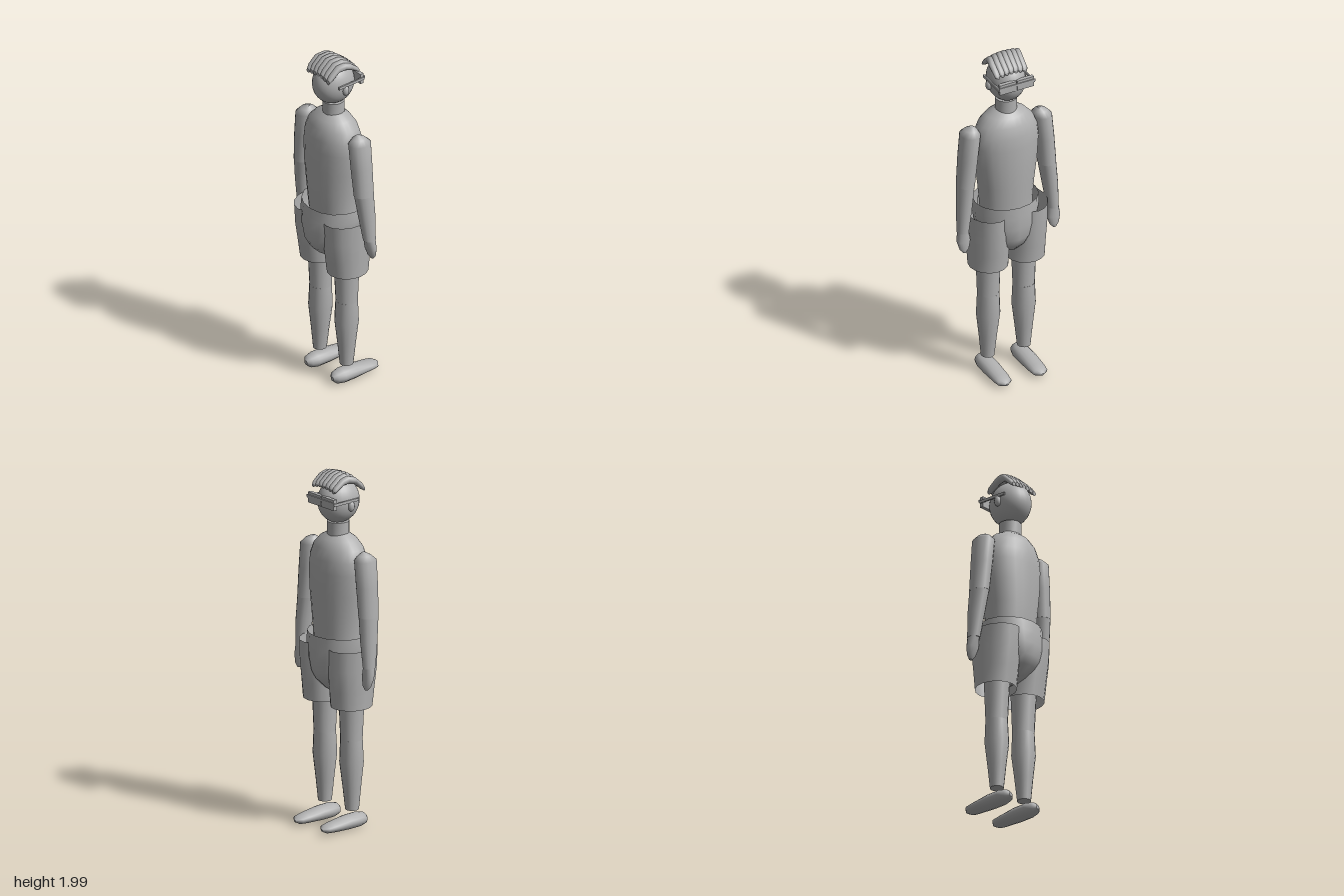
import * as THREE from 'three';

const grey = new THREE.MeshStandardMaterial({ color: 0xb0b0b0, side: THREE.DoubleSide });
grey.name = 'plain grey';

// Elliptical cross-sections [y, centreX, centreZ, radiusX, radiusZ], listed bottom to top
function loft(sections, { sides = 16, bottom = true, top = true } = {}) {
  const pos = [], index = [];
  for (const [y, cx, cz, rx, rz] of sections) {
    for (let i = 0; i < sides; i++) {
      const a = (i / sides) * Math.PI * 2;
      pos.push(cx + rx * Math.cos(a), y, cz + rz * Math.sin(a));
    }
  }
  for (let r = 0; r < sections.length - 1; r++) {
    for (let i = 0; i < sides; i++) {
      const j = (i + 1) % sides;
      const a = r * sides + i, b = r * sides + j, c = a + sides, d = b + sides;
      index.push(a, c, b, b, c, d);
    }
  }
  const cap = (r, up) => {
    const [y, cx, cz] = sections[r];
    const start = pos.length / 3;
    // own copy of the ring keeps the cap edge sharp
    for (let i = 0; i < sides; i++) pos.push(...pos.slice((r * sides + i) * 3, (r * sides + i) * 3 + 3));
    pos.push(cx, y, cz);
    for (let i = 0; i < sides; i++) {
      const a = start + i, b = start + (i + 1) % sides;
      index.push(start + sides, up ? b : a, up ? a : b);
    }
  };
  if (bottom) cap(0, false);
  if (top) cap(sections.length - 1, true);
  const g = new THREE.BufferGeometry();
  g.setAttribute('position', new THREE.Float32BufferAttribute(pos, 3));
  g.setIndex(index);
  g.computeVertexNormals();
  return g;
}

export function createModel() {
  const model = new THREE.Group();
  model.name = 'figure';
  const add = (name, geometry, x = 0, y = 0, z = 0) => {
    const m = new THREE.Mesh(geometry, grey);
    m.name = name;
    m.position.set(x, y, z);
    model.add(m);
    return m;
  };

  // Torso and neck
  add('torso', loft([
    [1.04, 0, 0.02, 0.15, 0.12], [1.1, 0, 0.022, 0.153, 0.125], [1.2, 0, 0.023, 0.162, 0.132],
    [1.33, 0, 0.023, 0.18, 0.137], [1.45, 0, 0.023, 0.19, 0.135], [1.52, 0, 0.023, 0.182, 0.13],
    [1.58, 0, 0.023, 0.158, 0.115], [1.625, 0, 0.023, 0.115, 0.088], [1.655, 0, 0.023, 0.06, 0.05],
  ], { sides: 24 }));
  add('neck', loft([[1.62, 0, 0.02, 0.06, 0.06], [1.72, 0, 0.02, 0.06, 0.06]], { sides: 20 }));

  // Head and ears
  const head = new THREE.SphereGeometry(1, 28, 20);
  head.scale(0.104, 0.124, 0.122);
  add('head', head, 0, 1.835, 0.022);
  for (const s of [1, -1]) {
    const ear = new THREE.SphereGeometry(1, 12, 8);
    ear.scale(0.017, 0.03, 0.02);
    add('ear', ear, s * 0.105, 1.822, 0.022);
  }

  // Glasses
  for (const s of [1, -1]) {
    add('lens', new THREE.BoxGeometry(0.102, 0.06, 0.022), s * 0.054, 1.852, -0.093);
    add('templeBar', new THREE.BoxGeometry(0.008, 0.016, 0.176), s * 0.107, 1.853, -0.016);
  }
  add('browBar', new THREE.BoxGeometry(0.222, 0.014, 0.006), 0, 1.86, -0.106);

  // Hair: overlapping bent strands combed from back to front
  for (let i = 0; i < 7; i++) {
    const u = i / 3 - 1;
    const drop = 0.012 * u * u, x = u * 0.083;
    const strand = loft([
      [-0.074, x + 0.015, -1.924 + drop, 0.01, 0.008], [-0.064, x + 0.014, -1.934 + drop, 0.018, 0.016],
      [-0.015, x + 0.014, -1.968 + drop, 0.021, 0.02], [0.02, x + 0.008, -1.978 + drop, 0.021, 0.022],
      [0.06, x - 0.004, -1.969 + drop, 0.021, 0.021], [0.105, x - 0.007, -1.93 + drop, 0.02, 0.02],
      [0.125, x - 0.005, -1.911 + drop, 0.013, 0.012],
    ], { sides: 10 });
    strand.rotateX(Math.PI / 2);
    add('hairStrand', strand);
  }

  // Shorts: seat piece with waistband opening
  add('shortsSeat', loft([
    [0.755, 0, 0.025, 0.015, 0.03], [0.79, 0, 0.025, 0.06, 0.09], [0.84, 0, 0.026, 0.11, 0.14],
    [0.89, 0, 0.027, 0.145, 0.163], [0.96, 0, 0.027, 0.175, 0.169], [1.03, 0, 0.025, 0.186, 0.166],
    [1.095, 0, 0.023, 0.183, 0.16],
  ], { top: false }));

  for (const s of [1, -1]) {
    // Shorts leg, open at both ends
    add('shortsLeg', loft([
      [0.7, s * 0.112, 0.016, 0.11, 0.117], [0.8, s * 0.113, 0.018, 0.113, 0.13],
      [0.92, s * 0.115, 0.02, 0.117, 0.146], [1.035, s * 0.117, 0.022, 0.117, 0.15],
    ], { bottom: false, top: false }));

    // Leg
    add('thigh', loft([
      [0.505, s * 0.109, 0.019, 0.061, 0.06], [0.7, s * 0.109, 0.02, 0.067, 0.07],
      [0.9, s * 0.109, 0.02, 0.078, 0.08],
    ]));
    add('shin', loft([
      [0.112, s * 0.111, 0.022, 0.037, 0.038], [0.24, s * 0.11, 0.021, 0.05, 0.051],
      [0.38, s * 0.109, 0.02, 0.066, 0.067], [0.51, s * 0.109, 0.019, 0.061, 0.061],
    ]));

    // Foot, laid along z with the toe at -z
    const foot = loft([
      [-0.195, s * 0.11, -0.035, 0.006, 0.006], [-0.168, s * 0.11, -0.037, 0.042, 0.022],
      [-0.13, s * 0.11, -0.039, 0.047, 0.028], [-0.02, s * 0.11, -0.045, 0.051, 0.04],
      [0.06, s * 0.11, -0.047, 0.05, 0.041], [0.1, s * 0.11, -0.047, 0.039, 0.033],
      [0.122, s * 0.11, -0.047, 0.012, 0.012],
    ], { sides: 14 });
    foot.rotateX(Math.PI / 2);
    add('foot', foot);

    // Arm
    add('upperArm', loft([
      [1.235, s * 0.25, 0.018, 0.05, 0.059], [1.4, s * 0.235, 0.021, 0.054, 0.064],
      [1.545, s * 0.22, 0.022, 0.055, 0.067], [1.572, s * 0.214, 0.022, 0.035, 0.038],
      [1.588, s * 0.207, 0.022, 0.01, 0.01],
    ]));
    add('forearm', loft([
      [0.955, s * 0.276, 0, 0.033, 0.036], [1.1, s * 0.264, 0.008, 0.043, 0.05],
      [1.24, s * 0.25, 0.018, 0.049, 0.058],
    ]));
    add('hand', loft([
      [0.832, s * 0.276, -0.02, 0.01, 0.008], [0.855, s * 0.276, -0.016, 0.028, 0.019],
      [0.9, s * 0.276, -0.008, 0.04, 0.027], [0.965, s * 0.276, 0, 0.031, 0.034],
    ]));
  }
  return model;
}
